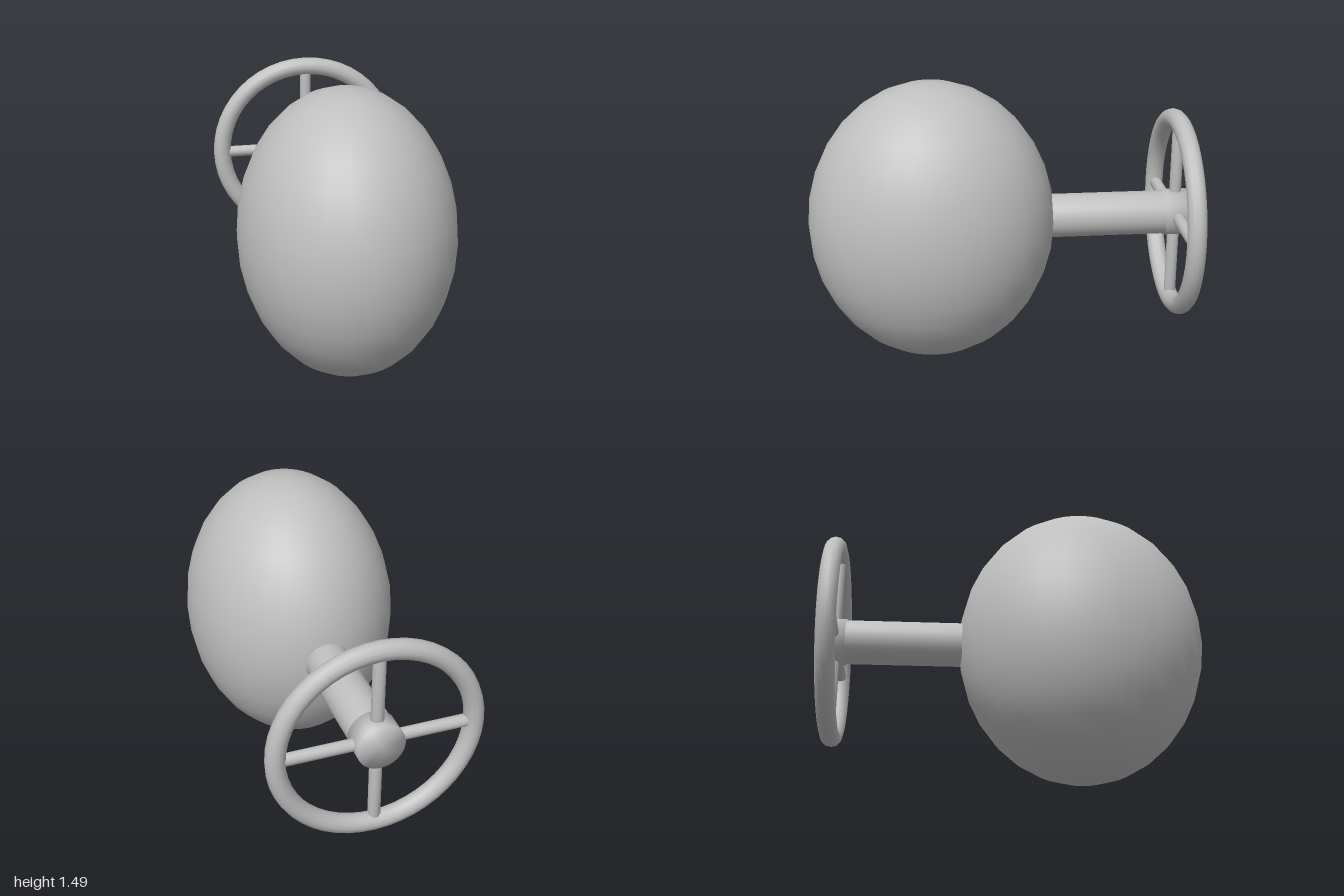
import * as THREE from 'three';
import { mergeVertices } from 'three/addons/utils/BufferGeometryUtils.js';

const CENTER_Y = 0.744;
const WHEEL_Z = -0.937;

// Cylinder whose normals blend over the rim, giving softly rounded ends
function softCylinder(radius, length, sides) {
  const raw = new THREE.CylinderGeometry(radius, radius, length, sides);
  raw.deleteAttribute('normal');
  raw.deleteAttribute('uv');
  const geometry = mergeVertices(raw);
  geometry.computeVertexNormals();
  return geometry;
}

export function createModel() {
  const model = new THREE.Group();
  model.name = 'handwheelWithBulb';
  const grey = new THREE.MeshStandardMaterial({ color: 0xbfbfbf });
  grey.name = 'grey';

  const add = (name, geometry, z, parent = model) => {
    const mesh = new THREE.Mesh(geometry, grey);
    mesh.name = name;
    mesh.position.z = z;
    parent.add(mesh);
    return mesh;
  };

  const assembly = new THREE.Group();
  assembly.name = 'assembly';
  assembly.position.y = CENTER_Y;
  model.add(assembly);

  // Egg-shaped body
  const body = new THREE.SphereGeometry(1, 32, 16).scale(0.55, CENTER_Y, 0.643);
  add('body', body, 0.357, assembly);

  // Shaft from the body to the wheel
  add('shaft', softCylinder(0.115, 0.7, 32).rotateX(Math.PI / 2), -0.55, assembly);

  // Wheel: rim, hub and four spokes
  const wheel = new THREE.Group();
  wheel.name = 'wheel';
  wheel.position.z = WHEEL_Z;
  assembly.add(wheel);
  add('rim', new THREE.TorusGeometry(0.5, 0.05, 12, 48), 0, wheel);
  add('hub', softCylinder(0.122, 0.126, 32).rotateX(Math.PI / 2), 0, wheel);
  for (let i = 0; i < 4; i++) {
    const spoke = softCylinder(0.032, 0.4, 12).translate(0, 0.26, 0).rotateZ(i * Math.PI / 2);
    add('spoke' + (i + 1), spoke, 0, wheel);
  }
  return model;
}
